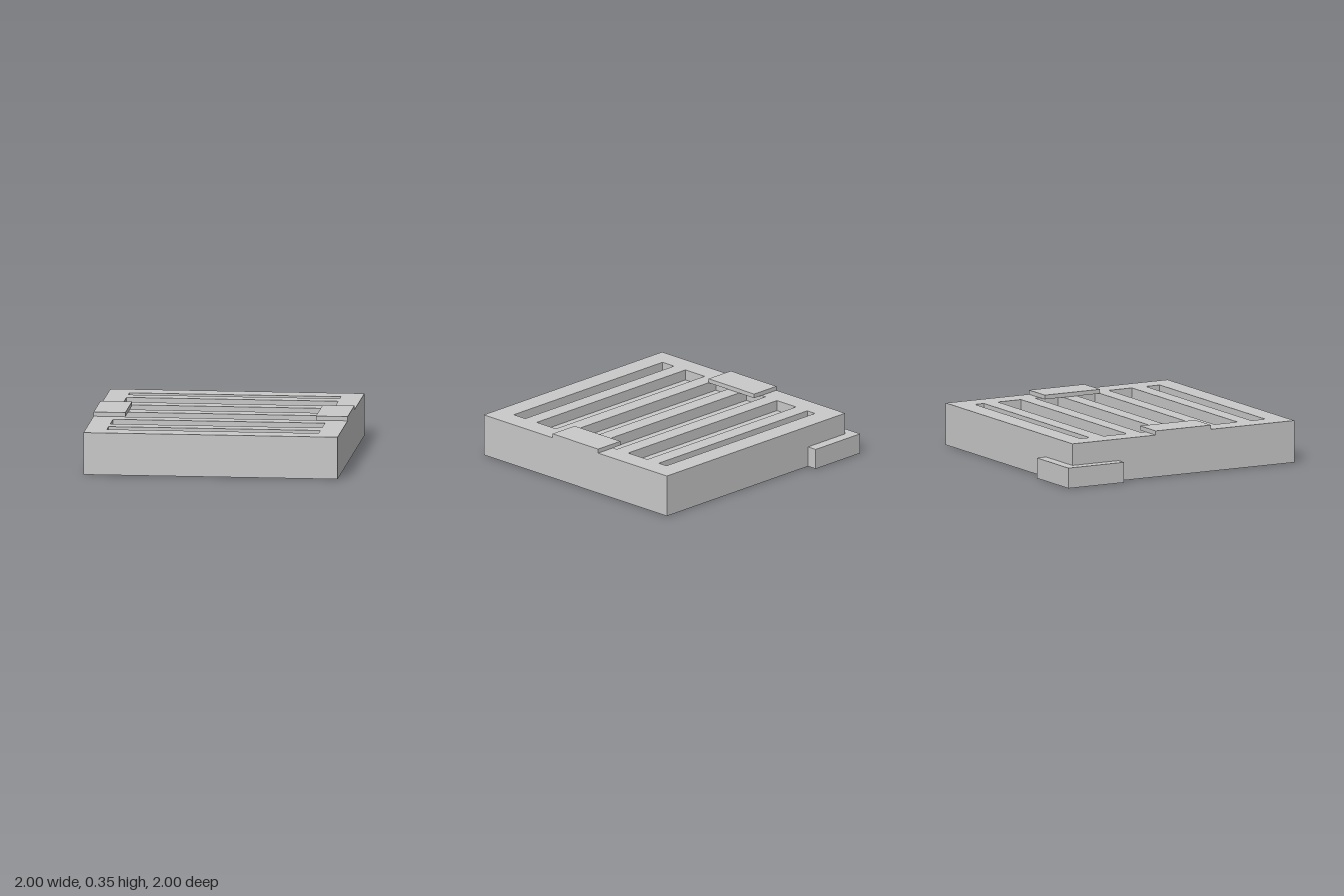
import * as THREE from 'three';

const grey = new THREE.MeshStandardMaterial({ color: 0xc9c9c9 });
grey.name = 'plain grey';

// Closed outline from [x, z] pairs
const trace = (path, points) => {
  points.forEach(([x, z], i) => (i ? path.lineTo(x, -z) : path.moveTo(x, -z)));
  path.closePath();
  return path;
};

const rect = (x0, x1, z0, z1) => [[x0, z1], [x1, z1], [x1, z0], [x0, z0]];

// Flat slab from an outline with holes, between heights y0 and y1
function slab(name, outline, holes, y0, y1) {
  const shape = trace(new THREE.Shape(), outline);
  shape.holes = holes.map((h) => trace(new THREE.Path(), h));
  const geometry = new THREE.ExtrudeGeometry(shape, { depth: y1 - y0, bevelEnabled: false });
  geometry.rotateX(-Math.PI / 2);
  geometry.translate(0, y0, 0);
  const mesh = new THREE.Mesh(geometry, grey);
  mesh.name = name;
  return mesh;
}

export function createModel() {
  const model = new THREE.Group();
  model.name = 'slottedBlock';

  const socketTop = 0.155, slotFloor = 0.24, top = 0.32, padTop = 0.352;
  const body = rect(-0.92, 1, -0.92, 1);

  // Base with the projecting corner socket, open underneath
  const base = [
    [-0.92, 1], [1, 1], [1, -0.92], [-0.52, -0.92],
    [-0.52, -1], [-1, -1], [-1, -0.52], [-0.92, -0.52],
  ];
  model.add(slab('baseWithCornerSocket', base, [rect(-0.92, -0.6, -0.92, -0.6)], 0, socketTop));

  // Solid core that closes the socket and forms the slot floors
  model.add(slab('core', body, [], socketTop, slotFloor));

  // Deck cut by six long shallow slots
  const slots = [
    [-0.76, -0.68], [-0.56, -0.36], [-0.24, -0.04],
    [0.08, 0.28], [0.4, 0.6], [0.72, 0.84],
  ].map(([z0, z1]) => rect(-0.76, 0.84, z0, z1));
  model.add(slab('slottedDeck', body, slots, slotFloor, top));

  // Raised pads at both ends of the middle slots
  model.add(slab('rightPad', rect(-0.92, -0.68, -0.2, 0.28), [], top, padTop));
  model.add(slab('leftPad', rect(0.76, 1, -0.2, 0.28), [], top, padTop));

  return model;
}
